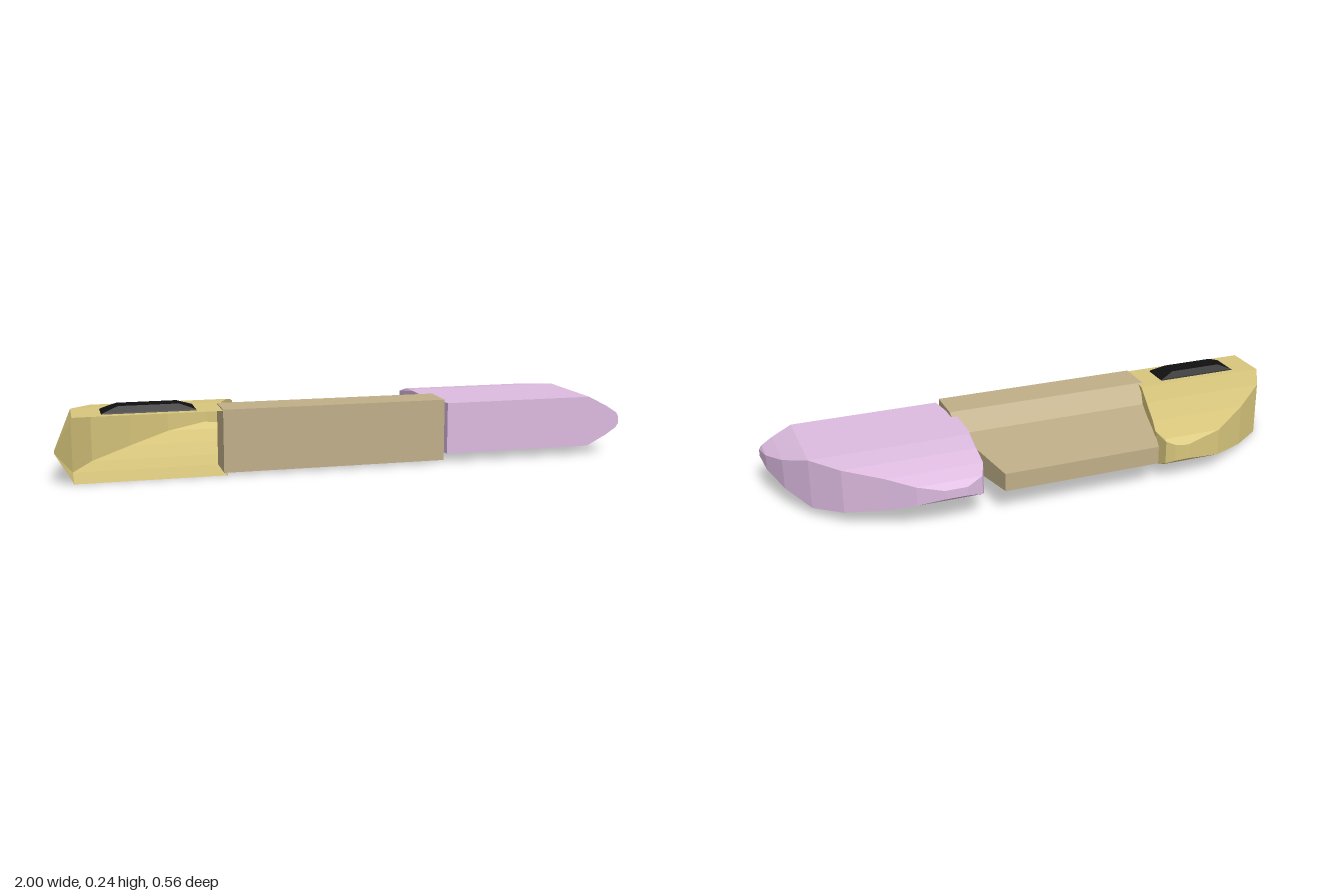
import * as THREE from 'three';

// Flat-shaded mesh from a list of quads (corners counter-clockwise from outside)
function quadMesh(name, quads, color) {
  const pos = [];
  const tri = (a, b, c) => {
    const area = new THREE.Triangle(new THREE.Vector3(...a), new THREE.Vector3(...b), new THREE.Vector3(...c)).getArea();
    if (area > 1e-7) pos.push(...a, ...b, ...c);
  };
  for (const [a, b, c, d] of quads) { tri(a, b, c); tri(a, c, d); }
  const geo = new THREE.BufferGeometry();
  geo.setAttribute('position', new THREE.Float32BufferAttribute(pos, 3));
  geo.computeVertexNormals();
  const mat = new THREE.MeshStandardMaterial({ color, flatShading: true, side: THREE.DoubleSide });
  const mesh = new THREE.Mesh(geo, mat);
  mesh.name = name;
  return mesh;
}

// Piecewise linear lookup in [[position, value], ...] with ascending positions
function lookup(table, t) {
  if (t <= table[0][0]) return table[0][1];
  for (let i = 1; i < table.length; i++) {
    const [t0, v0] = table[i - 1], [t1, v1] = table[i];
    if (t <= t1) return v0 + (v1 - v0) * (t - t0) / (t1 - t0);
  }
  return table[table.length - 1][1];
}

// Pod: plan columns [x, zFront, zBack], half height = lower of an x and a z profile
function pod(name, columns, midY, xProfile, zProfile, color, openFront) {
  const quads = [];
  const zs = [0.28, 0.13, ...zProfile.map(p => p[0]).reverse()].sort((a, b) => b - a);
  const half = (x, z) => Math.min(lookup(xProfile, x), lookup(zProfile, z));
  const point = ([x, zf, zb], z, s) => {
    const zc = Math.min(zf, Math.max(zb, z));
    return [x, midY + s * half(x, zc), zc];
  };
  for (let i = 0; i < columns.length - 1; i++) {
    const a = columns[i], b = columns[i + 1];
    // roof and floor
    for (let j = 0; j < zs.length - 1; j++) {
      const top = [point(a, zs[j], 1), point(b, zs[j], 1), point(b, zs[j + 1], 1), point(a, zs[j + 1], 1)];
      const bottom = [point(a, zs[j + 1], -1), point(b, zs[j + 1], -1), point(b, zs[j], -1), point(a, zs[j], -1)];
      quads.push(top, bottom);
    }
    // outer wall, and front or inner wall
    quads.push([point(b, -1, -1), point(a, -1, -1), point(a, -1, 1), point(b, -1, 1)]);
    if (!(openFront && a[1] === 0.28 && b[1] === 0.28))
      quads.push([point(a, 1, -1), point(b, 1, -1), point(b, 1, 1), point(a, 1, 1)]);
  }
  // end walls at the lowest and highest x
  const first = columns[0], last = columns[columns.length - 1];
  for (let j = 0; j < zs.length - 1; j++) {
    const f = zs[j], k = zs[j + 1];
    quads.push([point(first, k, -1), point(first, f, -1), point(first, f, 1), point(first, k, 1)]);
    quads.push([point(last, f, -1), point(last, k, -1), point(last, k, 1), point(last, f, 1)]);
  }
  return quadMesh(name, quads, color);
}

// Loft of four-cornered rings, each ring counter-clockwise seen from the end it faces last
function loft(name, rings, color) {
  const quads = [[...rings[0]].reverse(), rings[rings.length - 1]];
  for (let i = 0; i < rings.length - 1; i++)
    for (let k = 0; k < 4; k++) {
      const n = (k + 1) % 4;
      quads.push([rings[i][k], rings[i][n], rings[i + 1][n], rings[i + 1][k]]);
    }
  return quadMesh(name, quads, color);
}

export function createModel() {
  const group = new THREE.Group();

  // Centre body: sections from back to front [z, xLeft, xRight, yBottom, yTop]
  const sections = [
    [-0.26, -0.32, 0.26, 0.085, 0.15],
    [0.07, -0.435, 0.317, 0.065, 0.168],
    [0.145, -0.45, 0.328, 0.01, 0.225],
    [0.28, -0.45, 0.328, 0.01, 0.225],
  ];
  group.add(loft('centreBody', sections.map(([z, x0, x1, y0, y1]) =>
    [[x0, y0, z], [x1, y0, z], [x1, y1, z], [x0, y1, z]]), 0xbfae88));

  // Solid rounded pod on the +x side
  group.add(pod('solidPod', [
    [0.305, 0.13, 0], [0.32, 0.13, -0.205], [0.34, 0.28, -0.255], [0.4, 0.28, -0.28],
    [0.48, 0.28, -0.28], [0.57, 0.28, -0.255], [0.66, 0.28, -0.205], [0.79, 0.28, -0.13],
    [0.88, 0.28, -0.035], [0.95, 0.28, 0.075], [0.99, 0.28, 0.19], [1, 0.28, 0.28],
  ], 0.122,
  [[0.88, 0.09], [0.95, 0.054], [0.99, 0.028], [1, 0.013]],
  [[-0.28, 0.016], [-0.255, 0.034], [-0.205, 0.058], [-0.13, 0.079], [-0.035, 0.09]], 0xdcbadf, false));

  // Hollow pod on the -x side, open at the front, its inner wall following the body taper
  group.add(pod('hollowPod', [
    [-1, 0.28, 0.28], [-0.94, 0.28, 0.11], [-0.87, 0.28, -0.01], [-0.73, 0.28, -0.13],
    [-0.58, 0.28, -0.23], [-0.44, 0.28, -0.26], [-0.43, 0.11, -0.26], [-0.39, -0.02, -0.255],
    [-0.36, -0.13, -0.24], [-0.345, -0.18, -0.19],
  ], 0.111,
  [[-1, 0.004], [-0.94, 0.11]],
  [[-0.26, 0.028], [-0.23, 0.05], [-0.13, 0.078], [-0.01, 0.1], [0.11, 0.111]], 0xd8c67c, true));

  // Tapered hatch on the hollow pod
  const ring = (y, x0, x1, z0, z1) => [[x0, y, z1], [x1, y, z1], [x1, y, z0], [x0, y, z0]];
  group.add(loft('hatch', [
    ring(0.218, -0.85, -0.53, 0.14, 0.25),
    ring(0.225, -0.84, -0.535, 0.143, 0.247),
    ring(0.244, -0.79, -0.59, 0.163, 0.23),
  ], 0x101010));

  return group;
}
